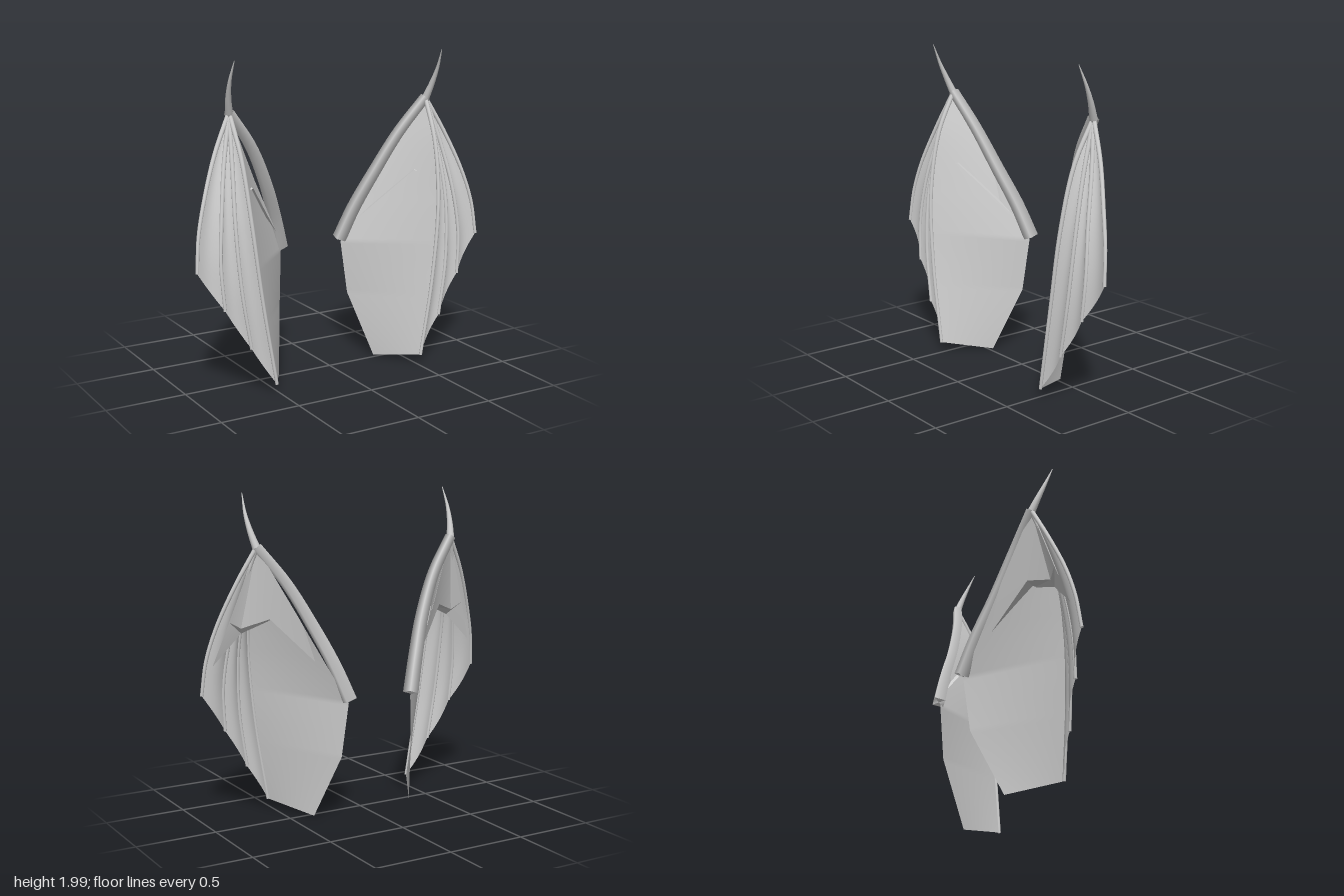
import * as THREE from 'three';
import { toCreasedNormals } from 'three/addons/utils/BufferGeometryUtils.js';

const WRIST = [0.69, 1.68, 0.025];

// Bone centre lines of the wing on the +x side
const ARM = [WRIST, [0.525, 1.46, -0.03], [0.388, 1.2, -0.105], [0.29, 0.97, -0.185], [0.217, 0.758, -0.245]];
const CLAW = [[0.69, 1.67, 0.025], [0.711, 1.77, 0.065], [0.721, 1.87, 0.108], [0.715, 1.99, 0.16]];
const FINGERS = [
  [WRIST, [0.81, 1.45, 0.075], [0.91, 1.2, 0.135], [0.965, 1.0, 0.168], [0.988, 0.79, 0.19]],
  [WRIST, [0.765, 1.38, 0.1], [0.815, 1.1, 0.165], [0.842, 0.82, 0.2], [0.828, 0.55, 0.215]],
  [WRIST, [0.722, 1.36, 0.125], [0.742, 1.03, 0.195], [0.725, 0.66, 0.23], [0.673, 0.3, 0.24]],
  [WRIST, [0.678, 1.42, 0.155], [0.657, 1.05, 0.235], [0.605, 0.58, 0.262], [0.52, 0.06, 0.265]],
];
// Free inner edge of the body membrane
const INNER_EDGE = [WRIST, [0.22, 0.74, -0.235], [0.25, 0.4, -0.2], [0.35, 0, -0.03]];

export function createModel() {
  const grey = new THREE.MeshStandardMaterial({ color: 0xcccccc, side: THREE.DoubleSide });
  grey.name = 'bone grey';

  const model = new THREE.Group();
  model.name = 'wings';

  for (const side of [1, -1]) {
    const wing = new THREE.Group();
    wing.name = side > 0 ? 'leftWing' : 'rightWing';
    model.add(wing);

    const vec = (p) => new THREE.Vector3(side * p[0], p[1], p[2]);
    const spline = (pts) => new THREE.CatmullRomCurve3(pts.map(vec));
    const add = (name, geometry) => {
      const mesh = new THREE.Mesh(geometry, grey);
      mesh.name = name;
      wing.add(mesh);
    };

    // Tapered tube with closed ends; spin turns its cross-section
    const bone = (name, pts, r0, r1, sides = 10, spin = 0) => {
      const n = 26, curve = spline(pts);
      const geo = new THREE.TubeGeometry(curve, n, 1, sides, false);
      const { position, normal } = geo.attributes, v = new THREE.Vector3();
      for (let i = 0; i <= n; i++) {
        const t = THREE.MathUtils.clamp((i - 1) / (n - 2), 0, 1);
        const target = curve.getPointAt(t), axis = curve.getTangentAt(t);
        const r = i === 0 || i === n ? 0 : r0 + (r1 - r0) * t;
        for (let j = 0; j <= sides; j++) {
          const k = i * (sides + 1) + j;
          v.fromBufferAttribute(normal, k).applyAxisAngle(axis, spin);
          normal.setXYZ(k, v.x, v.y, v.z);
          v.multiplyScalar(r).add(target);
          position.setXYZ(k, v.x, v.y, v.z);
        }
      }
      add(name, geo);
    };

    // Sheet from a grid of points that starts at a single point
    const sheet = (name, rows, cols, pointAt, crease) => {
      const pos = [], index = [];
      for (let i = 0; i <= rows; i++)
        for (let j = 0; j <= cols; j++) pos.push(...pointAt(i / rows, j / cols).toArray());
      for (let i = 0; i < rows; i++)
        for (let j = 0; j < cols; j++) {
          const a = i * (cols + 1) + j, b = a + 1, c = a + cols + 1, d = c + 1;
          if (i > 0) index.push(...(side > 0 ? [a, c, b] : [a, b, c]));
          index.push(...(side > 0 ? [b, c, d] : [b, d, c]));
        }
      const geo = new THREE.BufferGeometry();
      geo.setAttribute('position', new THREE.Float32BufferAttribute(pos, 3));
      geo.setIndex(index);
      geo.computeVertexNormals();
      add(name, crease ? toCreasedNormals(geo, crease) : geo);
    };

    // Squared arm, round claw and fingers
    bone('arm', ARM, 0.034, 0.048, 4, Math.PI / 4);
    bone('claw', CLAW, 0.025, 0.002);
    FINGERS.forEach((f, i) => bone('finger' + (i + 1), f, 0.014, 0.01));

    // Membranes between neighbouring fingers, sagging slightly backwards
    const curves = FINGERS.map(spline);
    for (let k = 0; k < 3; k++) {
      sheet('fingerMembrane' + (k + 1), 20, 8, (t, u) => {
        const p = curves[k].getPointAt(t).lerp(curves[k + 1].getPointAt(t), u);
        p.z -= 0.018 * Math.sin(Math.PI * u) * Math.min(1, 2 * t);
        return p;
      });
    }

    // Large membrane from the last finger to the body
    const edge = INNER_EDGE.map(vec);
    const knots = [0, 0.56, 0.77, 1];
    const edgeAt = (t) => {
      let i = 0;
      while (i < 2 && t > knots[i + 1]) i++;
      return edge[i].clone().lerp(edge[i + 1], (t - knots[i]) / (knots[i + 1] - knots[i]));
    };
    sheet('bodyMembrane', 100, 8, (t, u) => curves[3].getPointAt(t).lerp(edgeAt(t), u));

    // Arched web behind the fingers, folded near its lower edge
    const web = [
      [WRIST, WRIST, WRIST, WRIST],
      [[0.49, 1.28, -0.09], [0.61, 1.245, 0.025], [0.76, 1.19, 0.108], [0.84, 1.235, 0.1]],
      [[0.285, 0.88, -0.175], [0.57, 1.23, 0.085], [0.745, 1.155, 0.14], [0.93, 0.97, 0.15]],
    ];
    sheet('backWeb', 2, 3, (t, u) => vec(web[Math.round(t * 2)][Math.round(u * 3)]), 0.4);
  }
  return model;
}
